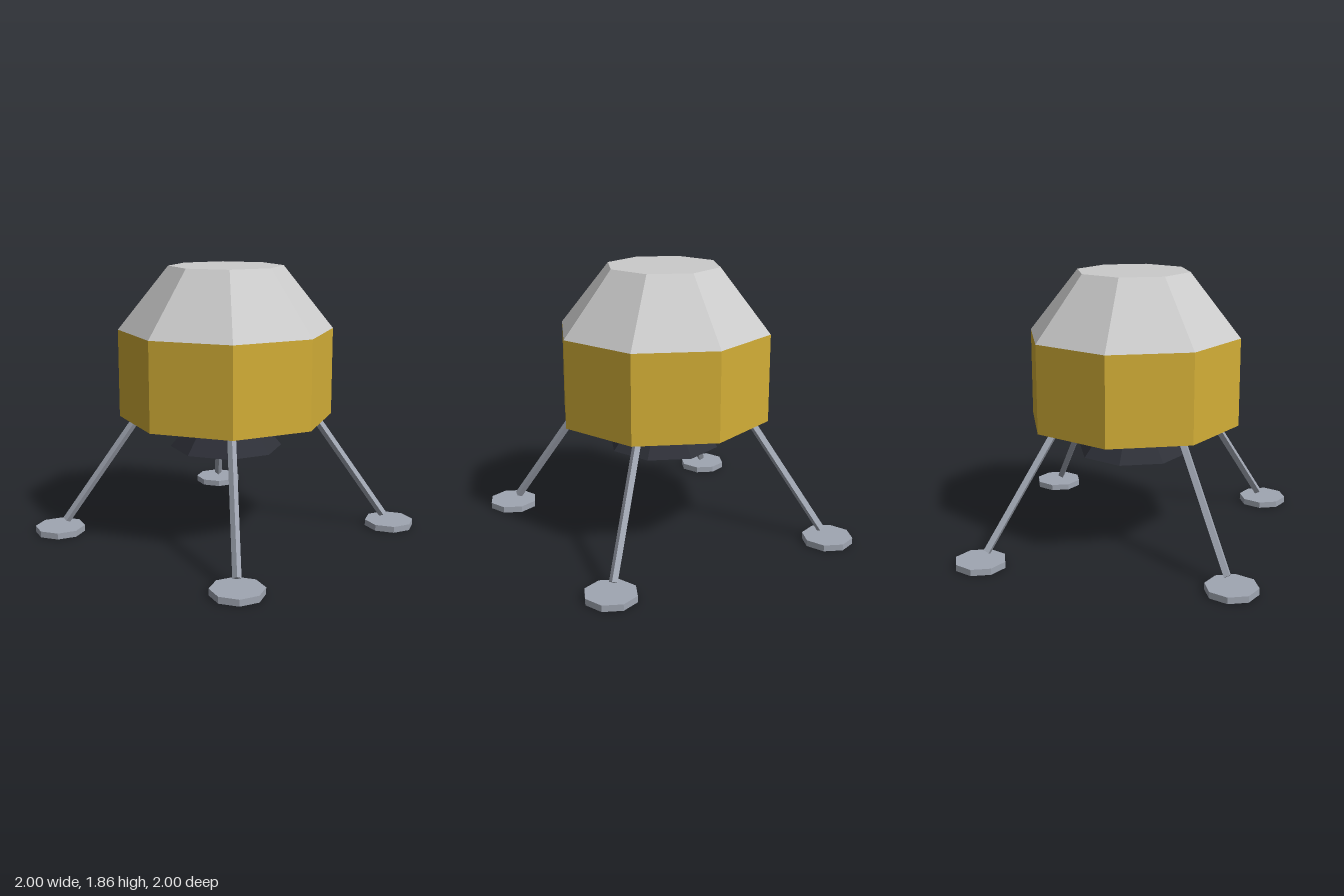
import * as THREE from 'three';

const mat = (color) => new THREE.MeshStandardMaterial({ color, flatShading: true });

export function createModel() {
  const model = new THREE.Group();
  model.name = 'lander';
  const gold = mat(0xd4af37), hull = mat(0xd8d8dc), dark = mat(0x2e3038), metal = mat(0xa0a6b2);

  const add = (name, geometry, material, parent = model) => {
    const mesh = new THREE.Mesh(geometry, material);
    mesh.name = name;
    parent.add(mesh);
    return mesh;
  };
  // Eight-sided tapered section between two heights
  const section = (name, rTop, rBottom, y0, y1, material, parent) => {
    const mesh = add(name, new THREE.CylinderGeometry(rTop, rBottom, y1 - y0, 8), material, parent);
    mesh.position.y = (y0 + y1) / 2;
    return mesh;
  };

  section('descentStage', 0.735, 0.735, 0.83, 1.43, gold);
  section('cabin', 0.39, 0.735, 1.43, 1.86, hull);
  section('engineNozzle', 0.147, 0.387, 0.61, 0.91, dark);

  // Four splayed square struts, each above a round foot pad
  const up = new THREE.Vector3(0, 1, 0);
  for (const [sx, sz, where] of [[1, 1, 'FrontLeft'], [-1, 1, 'FrontRight'], [1, -1, 'BackLeft'], [-1, -1, 'BackRight']]) {
    const leg = new THREE.Group();
    leg.name = 'leg' + where;
    model.add(leg);

    const foot = new THREE.Vector3(0.795 * sx, 0.085, 0.795 * sz);
    const hip = new THREE.Vector3(0.385 * sx, 0.92, 0.385 * sz);
    const axis = hip.clone().sub(foot);
    const strut = add('strut', new THREE.BoxGeometry(0.04, axis.length(), 0.04), metal, leg);
    strut.position.copy(foot).add(hip).multiplyScalar(0.5);
    strut.quaternion.setFromUnitVectors(up, axis.normalize());

    const pad = section('footPad', 0.172, 0.172, 0, 0.043, metal, leg);
    pad.position.x = 0.828 * sx;
    pad.position.z = 0.828 * sz;
  }
  return model;
}
